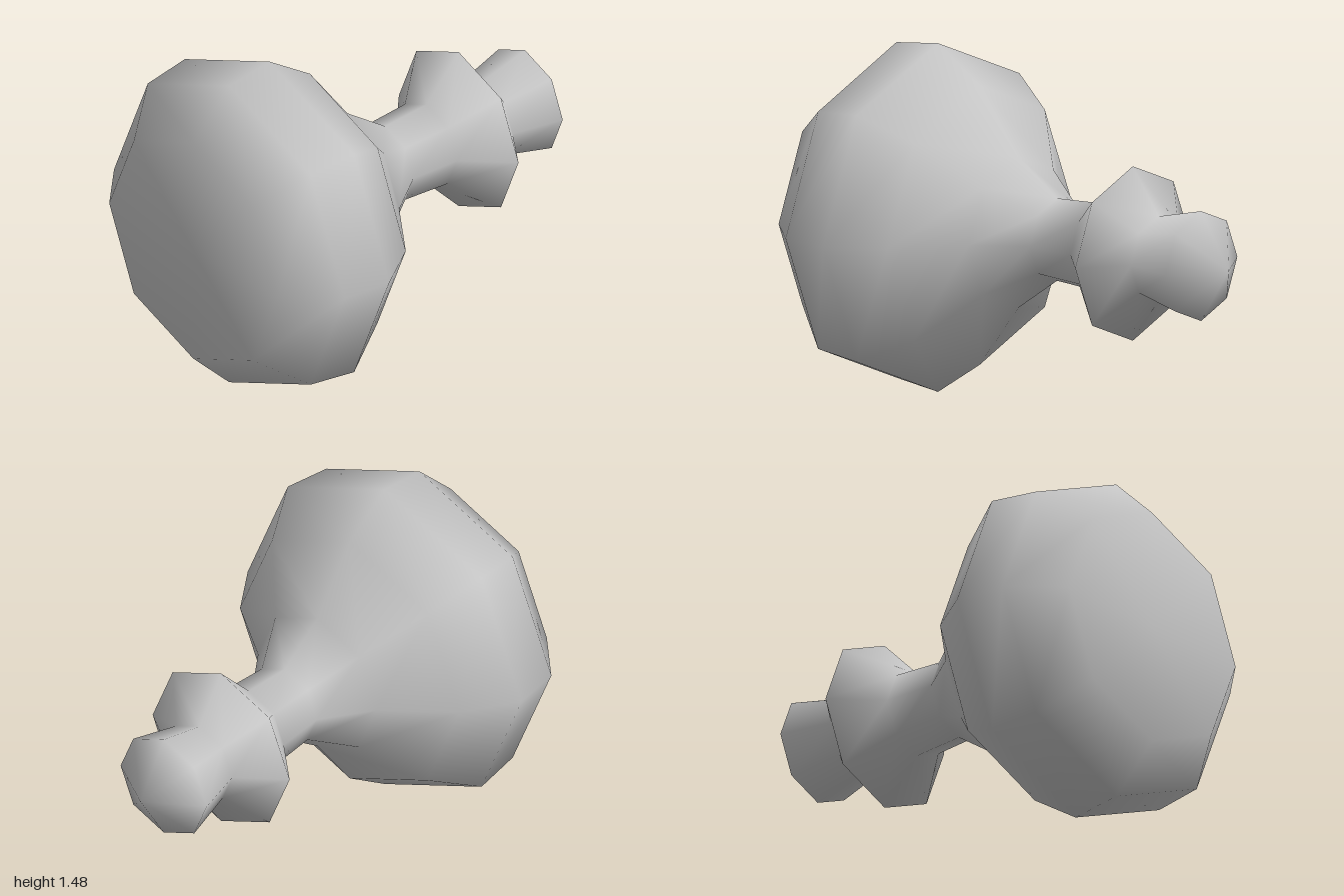
import * as THREE from 'three';
import { mergeVertices } from 'three/addons/utils/BufferGeometryUtils.js';

// Profile along the long axis: [z, radius], from the pointed tip to the flat base
const PROFILE = [
  [-1, 0], [-0.85, 0.233], // head
  [-0.62, 0.178], [-0.48, 0.37], [-0.3, 0.188], // collar
  [-0.07, 0.175], // neck
  [0.14, 0.32], [0.35, 0.593], [0.575, 0.74], [0.8, 0.712], [1, 0.52], // body
  [1, 0], // flat base
];
const SIDES = 8;
const AXIS_HEIGHT = 0.74;

export function createModel() {
  const group = new THREE.Group();
  group.name = 'lyingPawn';

  const grey = new THREE.MeshStandardMaterial({ color: 0xc4c4c4 });
  grey.name = 'light grey';

  // Eight-sided turned piece, laid on its side with the base to the front
  let geometry = new THREE.LatheGeometry(PROFILE.map(([z, r]) => new THREE.Vector2(r, z)), SIDES);
  geometry.rotateX(Math.PI / 2);

  // Weld seam and poles so the shading is smooth all over
  geometry.deleteAttribute('normal');
  geometry.deleteAttribute('uv');
  geometry = mergeVertices(geometry, 1e-4);
  geometry.computeVertexNormals();

  const pawn = new THREE.Mesh(geometry, grey);
  pawn.name = 'turnedBody';
  pawn.position.y = AXIS_HEIGHT;
  group.add(pawn);

  return group;
}
